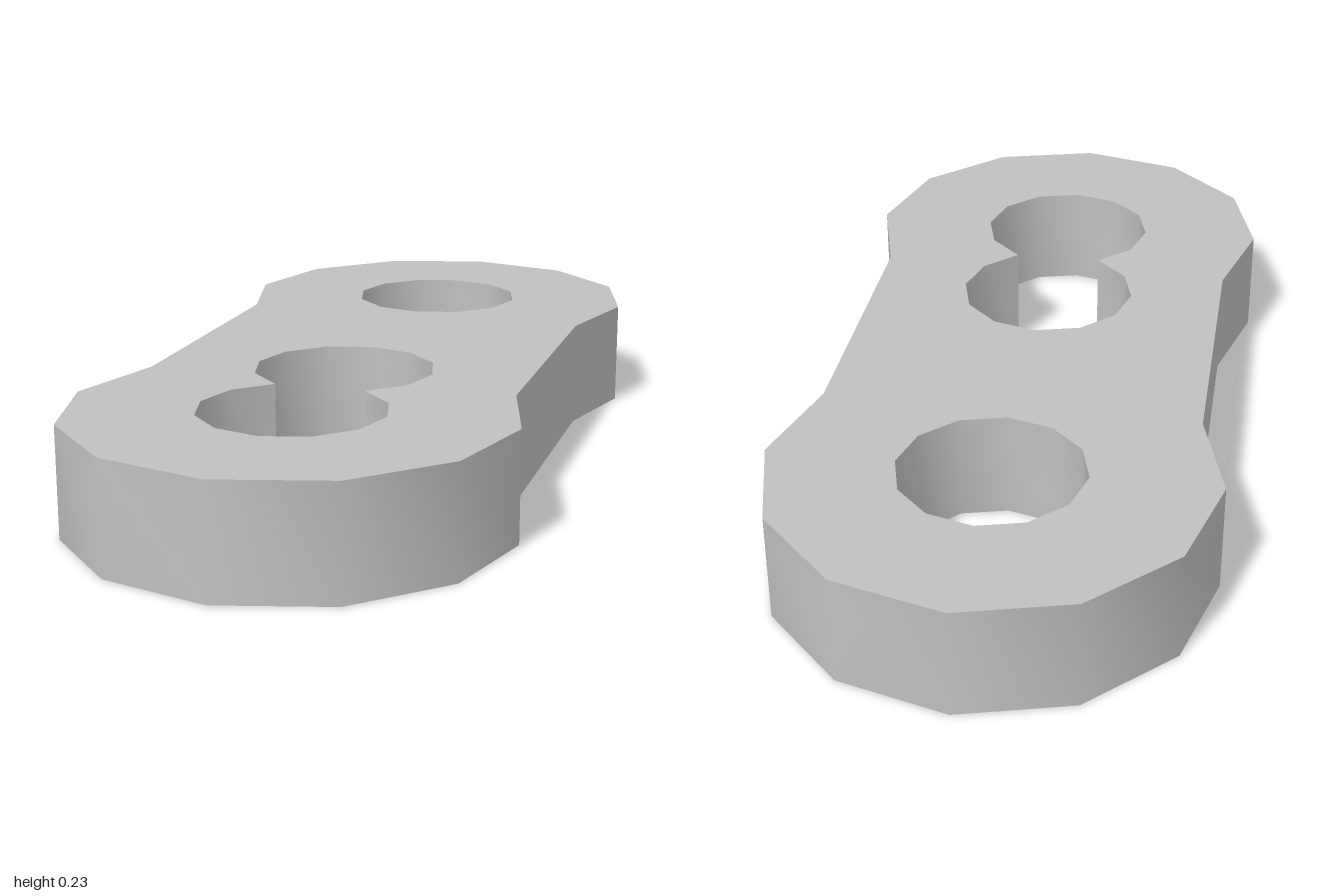
import * as THREE from 'three';
import { toCreasedNormals } from 'three/addons/utils/BufferGeometryUtils.js';

const THICKNESS = 0.23;
const END = 0.545;     // distance of each rounded end from the middle
const STEP = Math.PI / 6; // every round is twelve-sided

// Corners of a twelve-sided round, from step a to step b, starting at +x
function arc(z, radius, a, b) {
  const points = [];
  for (let i = a; i <= b; i++) {
    points.push(new THREE.Vector2(radius * Math.cos(i * STEP), z + radius * Math.sin(i * STEP)));
  }
  return points;
}

export function createModel() {
  const model = new THREE.Group();
  const steel = new THREE.MeshStandardMaterial({ color: 0xc0c0c0 });
  steel.name = 'steel grey';

  // Outline: two rounded ends joined by a straight waist
  const outline = new THREE.Shape([
    ...arc(END, 0.455, -1, 7),
    ...arc(-END, 0.455, 5, 13),
  ]);

  // Round hole at the back, double keyhole slot at the front
  outline.holes.push(
    new THREE.Path(arc(-END, 0.192, 0, 11)),
    new THREE.Path([
      ...arc(0.54, 0.192, -2, 8),
      ...arc(0.208, 0.192, 5, 13), // shares its neck corners with the front round
    ]),
  );

  const plate = new THREE.ExtrudeGeometry(outline, { depth: THICKNESS, bevelEnabled: false, curveSegments: 1 });
  plate.rotateX(Math.PI / 2).translate(0, THICKNESS, 0);

  const mesh = new THREE.Mesh(toCreasedNormals(plate, 0.6), steel);
  mesh.name = 'linkPlate';
  model.add(mesh);
  return model;
}
